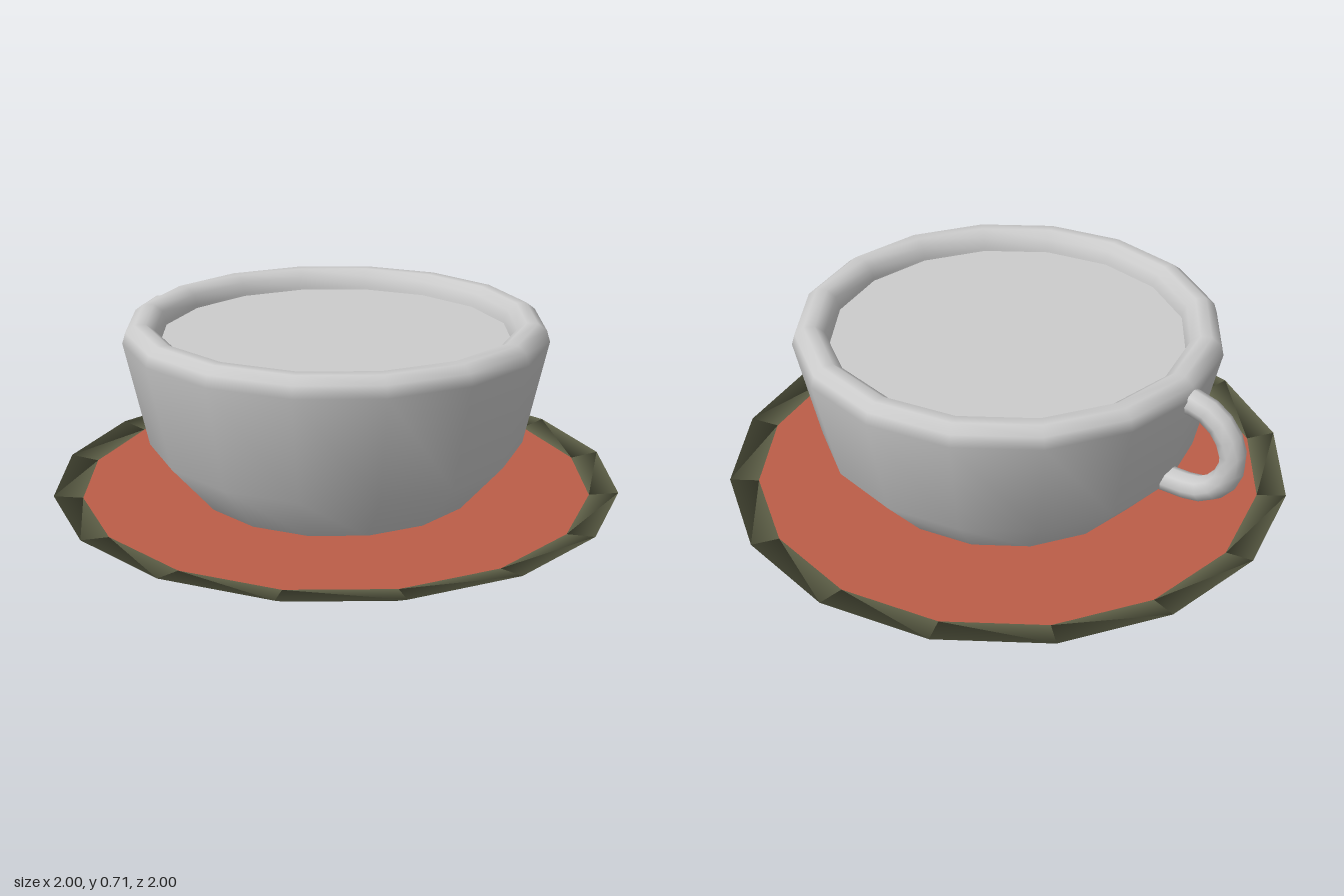
import * as THREE from 'three';

const SIDES = 16;
const grey = new THREE.MeshStandardMaterial({ color: 0xcccccc });
const red = new THREE.MeshStandardMaterial({ color: 0xbc5d48 });
const olive = new THREE.MeshStandardMaterial({ color: 0x606249 });

// Turned part from [radius, height] pairs, listed from the bottom up the outside
function turned(name, profile, material) {
  const points = profile.map(([r, y]) => new THREE.Vector2(r, y));
  const mesh = new THREE.Mesh(new THREE.LatheGeometry(points, SIDES), material);
  mesh.name = name;
  return mesh;
}

export function createModel() {
  const model = new THREE.Group();
  model.name = 'cupAndSaucer';

  // Saucer: shallow underside, flared rim and flat floor
  const saucer = new THREE.Group();
  saucer.name = 'saucer';
  saucer.add(
    turned('saucerUnderside', [[0, 0], [0.35, 0], [0.88, 0.05]], red),
    turned('saucerRim', [[0.88, 0.05], [1, 0.115], [0.9, 0.1]], olive),
    turned('saucerFloor', [[0.9, 0.1], [0, 0.095]], red),
  );

  // Cup: tapered body with a rounded lip
  const cup = new THREE.Group();
  cup.name = 'cup';
  const body = [[0.5, 0.09], [0.66, 0.28], [0.737, 0.65]];
  for (let i = 1; i <= 5; i++) {
    const a = (i / 5) * Math.PI;
    body.push([0.675 + 0.062 * Math.cos(a), 0.65 + 0.065 * Math.sin(a)]);
  }
  body.push([0.61, 0.62]);
  cup.add(turned('cupBody', body, grey));
  cup.add(turned('cupFilling', [[0.625, 0.64], [0, 0.64]], grey));

  // Handle: round loop on the model's right
  const path = new THREE.CatmullRomCurve3([
    [-0.68, 0.63], [-0.77, 0.625], [-0.855, 0.565], [-0.89, 0.47],
    [-0.86, 0.375], [-0.785, 0.315], [-0.62, 0.3],
  ].map(([x, y]) => new THREE.Vector3(x, y, 0)));
  const handle = new THREE.Mesh(new THREE.TubeGeometry(path, 12, 0.045, 8), grey);
  handle.name = 'handle';
  cup.add(handle);

  model.add(saucer, cup);
  return model;
}
